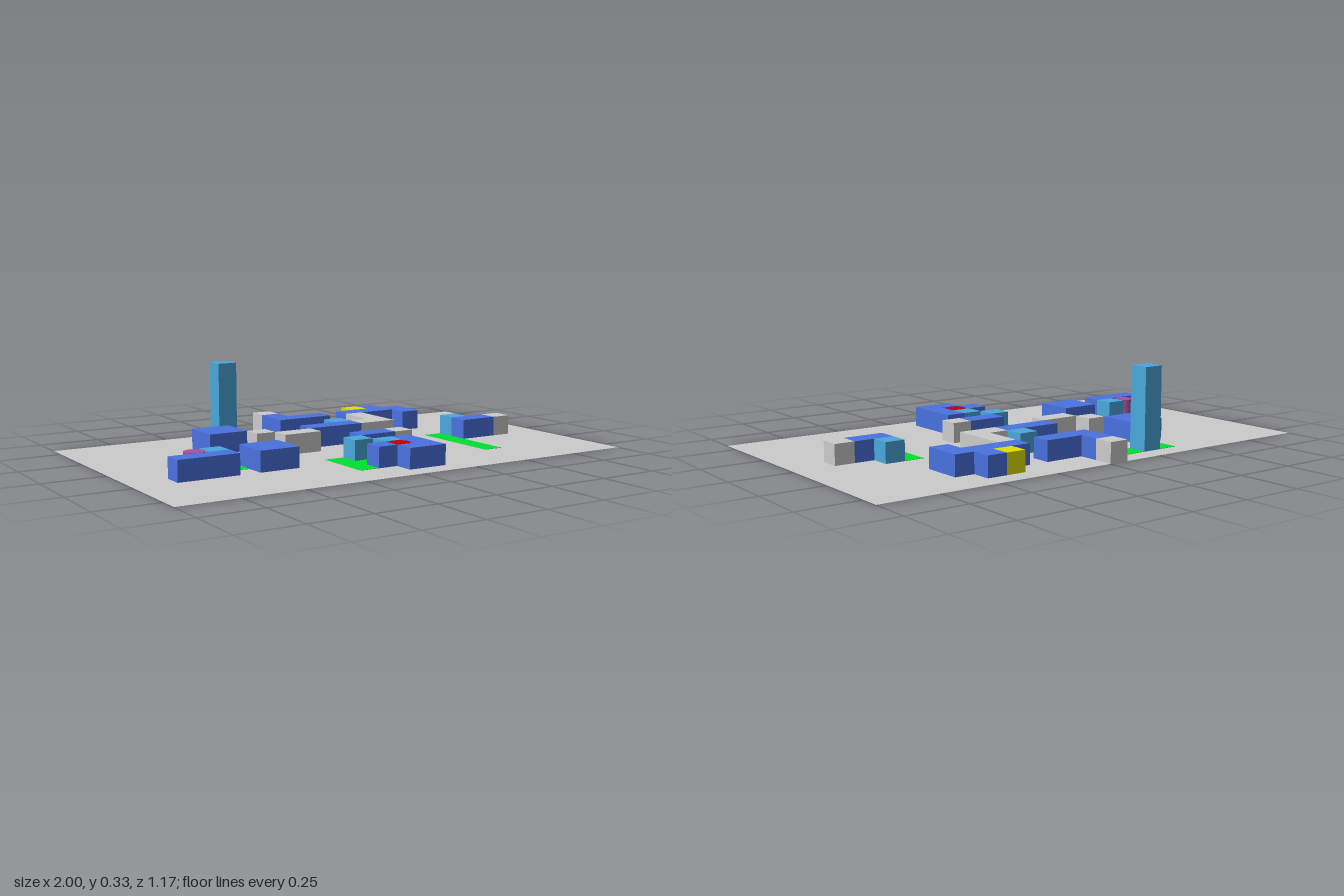
import * as THREE from 'three';

// The layout sits on a 24 x 14 grid of cells
const U = 1 / 12;
const paint = (color) => new THREE.MeshStandardMaterial({ color });
const blue = paint(0x4a72e0), sky = paint(0x4aa8dc), green = paint(0x00e030);
const grey = paint(0xcccccc), yellow = paint(0xe0e000), red = paint(0xc00000), purple = paint(0xa8509f);

// Straight-walled block from an outline of [x, z] cell corners
function outlineBlock(points, height) {
  const shape = new THREE.Shape(points.map(([x, z]) => new THREE.Vector2(x * U, -z * U)));
  return new THREE.ExtrudeGeometry(shape, { depth: height, bevelEnabled: false }).rotateX(-Math.PI / 2);
}
const rect = (x0, x1, z0, z1) => [[x0, z0], [x1, z0], [x1, z1], [x0, z1]];

export function createModel() {
  const model = new THREE.Group();
  const add = (name, geometry, material) => {
    const mesh = new THREE.Mesh(geometry, material);
    mesh.name = name;
    model.add(mesh);
    return mesh;
  };
  const blocks = (name, material, outlines, height = U) =>
    outlines.forEach((o) => add(name, outlineBlock(o, height), material));

  // Ground sheet, seen from both sides
  const sheet = new THREE.PlaneGeometry(24 * U, 14 * U).rotateX(-Math.PI / 2);
  const sheetMaterial = paint(0xcccccc);
  sheetMaterial.side = THREE.DoubleSide;
  add('groundSheet', sheet, sheetMaterial).position.y = 0.001;

  // Lawns, just proud of both faces of the sheet
  blocks('lawn', green, [
    [[-5, -6], [-1, -6], [-1, -1], [-2, -1], [-2, -5], [-5, -5]],
    [[-2, 2], [-1, 2], [-1, 3], [0, 3], [0, 4], [-1, 4], [-1, 5], [-2, 5]],
    rect(2, 3, -3, -2),
    rect(-7, -6, 1, 2),
    rect(6, 7, -1, 4),
  ], 0.002);

  // Main buildings
  blocks('mainBuilding', blue, [
    [[-1, -6], [0, -6], [0, -5], [2, -5], [2, -4], [-1, -4]],
    [[3, -5], [5, -5], [5, -6], [6, -6], [6, -5], [7, -5], [7, -3], [6, -3], [6, -4], [3, -4]],
    [[1, 3], [2, 3], [2, 6], [0, 6], [0, 5], [1, 5]],
    rect(-6, -4, -4, -2),
    rect(-6, -4, 1, 3),
    rect(-1, 2, -2, -1),
    rect(-10, -7, 2, 3),
    rect(0, 2, 1, 2),
    rect(-1, 0, 4, 5),
    rect(7, 9, 0, 1),
  ]);

  // Small annexes
  blocks('annex', sky, [
    rect(1, 2, -3, -2),
    rect(-8, -7, 1, 2),
    rect(-1, 0, 2, 3),
    rect(0, 1, 3, 4),
    rect(7, 8, -1, 0),
  ]);
  blocks('tower', sky, [rect(-4, -3, -6, -5)], 4 * U);

  // Grey connecting blocks
  blocks('connector', grey, [
    [[3, -4], [4, -4], [4, -1], [2, -1], [2, -2], [3, -2]],
    rect(-1, 0, -7, -6),
    rect(-4, -3, -2, -1),
    rect(-3, -1, -1, 0),
    rect(2, 3, 1, 2),
    rect(9, 10, 0, 1),
  ]);
  blocks('yellowBlock', yellow, [rect(4, 5, -6, -5)]);

  // Round towers
  const drum = new THREE.CylinderGeometry(U * 0.48, U * 0.48, U, 32);
  add('redDrum', drum, red).position.set(0.5 * U, U / 2, 4.5 * U);
  add('purpleDrum', drum, purple).position.set(-8.5 * U, U / 2, 1.5 * U);

  return model;
}
